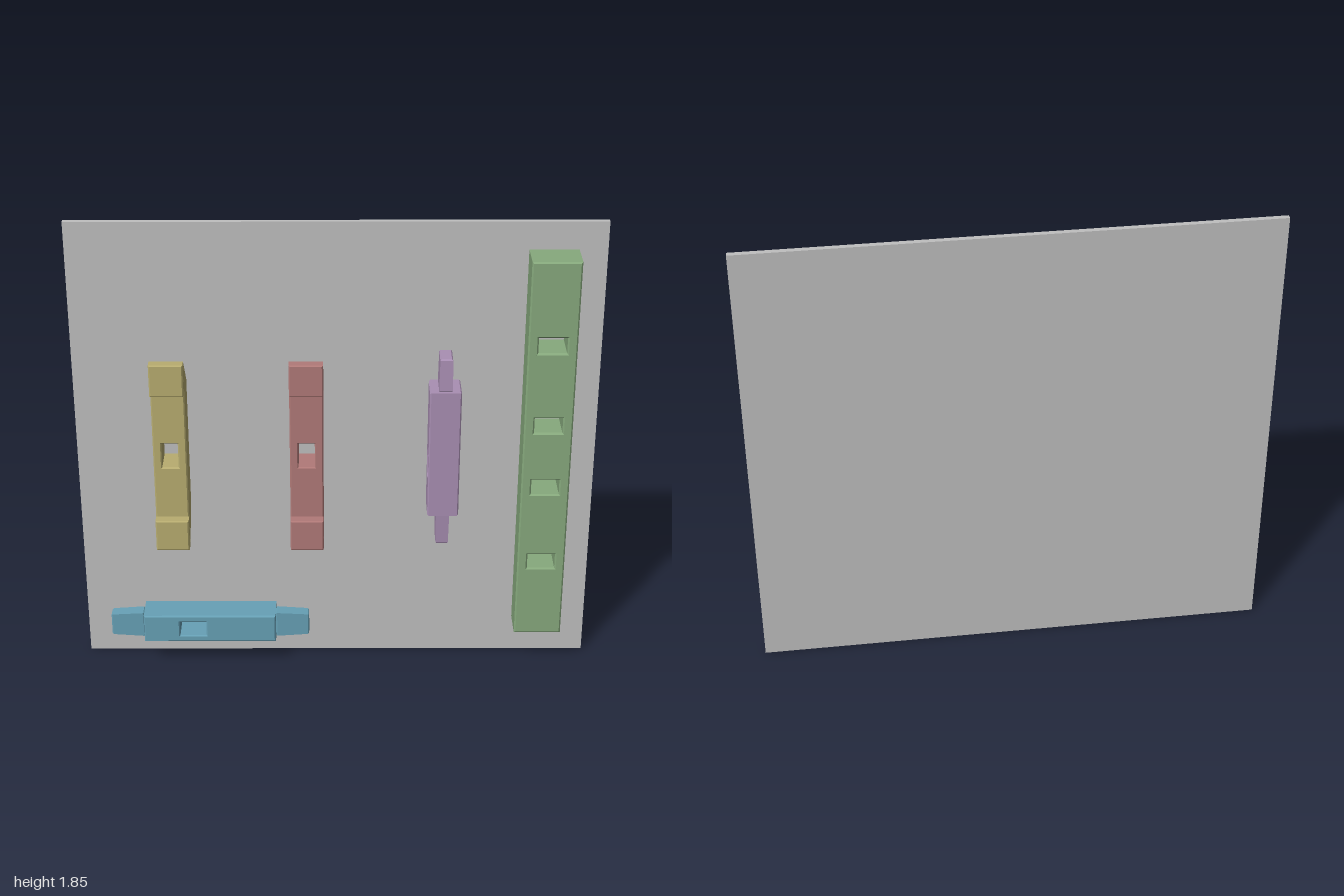
import * as THREE from 'three';

const BACK = -0.07; // front plane of the board, where all timbers rest

const mat = (name, color) => new THREE.MeshStandardMaterial({ name, color });

// Rectangle path around (x, y)
function rect(path, x, y, w, h) {
  path.moveTo(x - w / 2, y - h / 2);
  path.lineTo(x + w / 2, y - h / 2);
  path.lineTo(x + w / 2, y + h / 2);
  path.lineTo(x - w / 2, y + h / 2);
  path.closePath();
  return path;
}

// Finely chamfered block centred on the origin, with holes [x, y, w, h] cut through along z
function block(w, h, d, holes = [], bevel = 0.005) {
  const shape = rect(new THREE.Shape(), 0, 0, w, h);
  for (const hole of holes) shape.holes.push(rect(new THREE.Path(), ...hole));
  const geo = new THREE.ExtrudeGeometry(shape, {
    depth: d - 2 * bevel, bevelThickness: bevel, bevelSize: bevel,
    bevelOffset: -bevel, bevelSegments: 1,
  });
  return geo.translate(0, 0, bevel - d / 2);
}

// Move every vertex by a rule, then refresh the flat normals
function deform(geo, rule) {
  const p = geo.attributes.position;
  const v = new THREE.Vector3();
  for (let i = 0; i < p.count; i++) {
    rule(v.fromBufferAttribute(p, i));
    p.setXYZ(i, v.x, v.y, v.z);
  }
  geo.computeVertexNormals();
  return geo;
}

function add(parent, name, geo, material, x = 0, y = 0, z = 0) {
  const mesh = new THREE.Mesh(geo, material);
  mesh.name = name;
  mesh.position.set(x, y, z);
  parent.add(mesh);
  return mesh;
}

// Rail lying along x, with a mortise and a tapered tenon at each end
function tenonRail(name, material) {
  const g = new THREE.Group();
  g.name = name;
  add(g, 'railBody', block(0.525, 0.12, 0.12, [[-0.067, 0, 0.105, 0.062]]), material);
  const len = 0.1325;
  for (const s of [-1, 1]) {
    const geo = deform(block(0.052, 0.108, len), (v) => {
      const t = v.z / len + 0.5; // 0 at the shoulder, 1 at the tip
      v.x *= 1 - 0.08 * t;
      v.y *= 1 - 0.15 * t;
    });
    geo.rotateY(s * Math.PI / 2);
    add(g, s < 0 ? 'rightTenon' : 'leftTenon', geo, material, s * (0.2625 + len / 2));
  }
  return g;
}

// Upright with raised heads at the front and ends that slope in towards the back
function slopedUpright(name, material) {
  const g = new THREE.Group();
  g.name = name;
  const w = 0.128, h = 0.79, d = 0.12, slope = 0.13;
  const body = deform(block(w, h, d, [[0, 0, 0.062, 0.1]]), (v) => {
    if (Math.abs(v.y) > 0.3) v.y -= Math.sign(v.y) * slope * (0.5 - v.z / d);
  });
  add(g, 'uprightBody', body, material, 0, 0, BACK + d / 2);
  for (const s of [-1, 1]) {
    add(g, s < 0 ? 'lowerHead' : 'upperHead', block(w, 0.13, 0.043), material,
      0, s * (h / 2 - 0.065), 0.0665);
  }
  return g;
}

export function createModel() {
  const model = new THREE.Group();
  model.name = 'timberJointDisplay';

  const grey = mat('boardGrey', 0xbfbfbf);
  const yellow = mat('ochre', 0xb8ad70);
  const red = mat('dustyRed', 0xb17a78);
  const purple = mat('mauve', 0xa98fb3);
  const green = mat('sageGreen', 0x87a97d);
  const blue = mat('tealBlue', 0x67a1b6);

  // Backing board
  add(model, 'backBoard', new THREE.BoxGeometry(2, 1.85, 0.02), grey, 0, 0.925, BACK - 0.01);

  // Pair of sloped uprights
  for (const [name, m, x] of [['ochreUpright', yellow, -0.632], ['redUpright', red, -0.112]]) {
    const upright = slopedUpright(name, m);
    upright.position.set(x, 0.95, 0);
    model.add(upright);
  }

  // Horizontal rail
  const lower = tenonRail('horizontalRail', blue);
  lower.position.set(-0.503, 0.17, BACK + 0.06);
  model.add(lower);

  // Same rail standing upright, with its mortise facing sideways
  const standing = tenonRail('standingRail', purple);
  standing.quaternion.setFromRotationMatrix(new THREE.Matrix4().makeBasis(
    new THREE.Vector3(0, 1, 0), new THREE.Vector3(0, 0, 1), new THREE.Vector3(1, 0, 0)));
  standing.position.set(0.412, 0.951, BACK + 0.06);
  model.add(standing);

  // Tall post with four mortises
  const postY = 0.952;
  const mortises = [1.413, 1.083, 0.82, 0.49].map((y) => [0, y - postY, 0.107, 0.062]);
  add(model, 'mortisedPost', block(0.184, 1.584, 0.133, mortises, 0.006), green,
    0.801, postY, BACK + 0.0665);

  return model;
}
